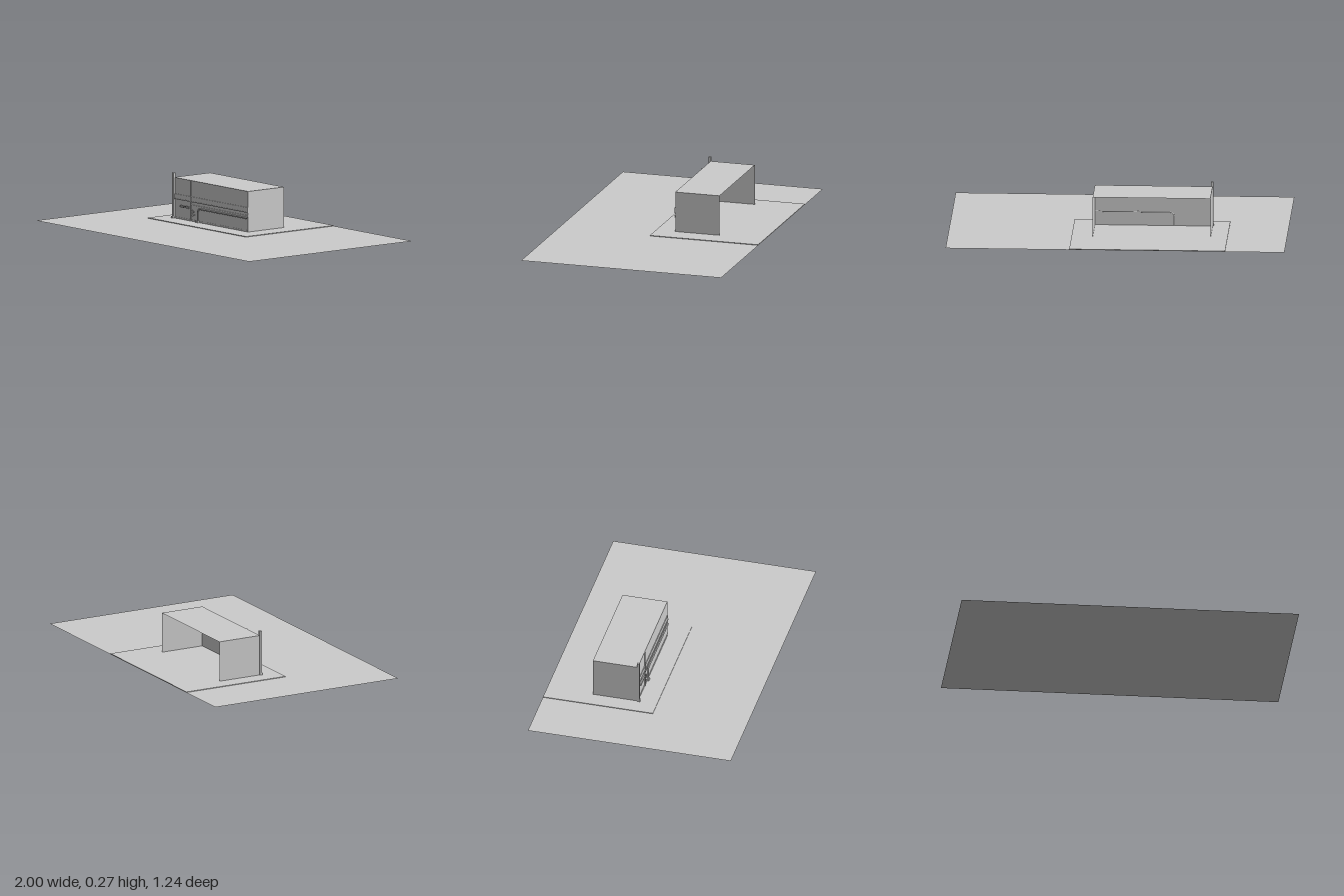
import * as THREE from 'three';

export function createModel() {
  const model = new THREE.Group();
  const mat = new THREE.MeshStandardMaterial({ color: 0xcccccc, side: THREE.DoubleSide, flatShading: true });
  const smooth = new THREE.MeshStandardMaterial({ color: 0xcccccc });

  function add(name, geometry, material = mat) {
    const mesh = new THREE.Mesh(geometry, material);
    mesh.name = name;
    model.add(mesh);
    return mesh;
  }
  // box given by its limits on each axis
  function box(name, x0, x1, y0, y1, z0, z1) {
    const mesh = add(name, new THREE.BoxGeometry(x1 - x0, y1 - y0, z1 - z0));
    mesh.position.set((x0 + x1) / 2, (y0 + y1) / 2, (z0 + z1) / 2);
    return mesh;
  }
  // single sheet, turned and placed
  function sheet(name, w, h, x, y, z, rx = 0, ry = 0) {
    const mesh = add(name, new THREE.PlaneGeometry(w, h));
    mesh.position.set(x, y, z);
    mesh.rotation.set(rx, ry, 0);
  }

  const L = -0.55, R = 0.145, F = -0.066, B = -0.339, H = 0.246, floor = 0.004;
  const midX = (L + R) / 2, midZ = (F + B) / 2;

  // ground and raised pavement
  sheet('ground', 2, 1.236, 0, 0, 0, -Math.PI / 2);
  box('pavement', -0.65, 0.27, 0.0005, floor, -0.617, 0.052);

  // building shell, open at the back
  sheet('roof', R - L, F - B, midX, H, midZ, -Math.PI / 2);
  sheet('frontWall', R - L, H, midX, H / 2, F);
  for (const [name, x] of [['rightEndWall', L], ['leftEndWall', R]])
    sheet(name, F - B, H, x, H / 2, midZ, 0, Math.PI / 2);

  // end pilaster with its base, and the slim divider
  box('endPilaster', -0.556, -0.541, floor, 0.274, -0.069, -0.055);
  box('pilasterBase', -0.556, -0.541, floor, 0.016, -0.06, -0.05);
  box('divider', -0.392, -0.386, floor, H, F, -0.06);

  // horizontal facade bands
  box('upperBand', -0.541, R, 0.123, 0.15, F, -0.062);
  box('bandLedge', -0.541, R, 0.119, 0.123, F, -0.059);
  box('lowerBand', -0.386, R, 0.097, 0.102, F, -0.061);
  box('skirting', -0.541, R, floor, 0.013, F, -0.064);

  // projecting panel beside the divider, with two rails
  for (const y of [0.076, 0.084])
    box('wallRail', -0.492, -0.405, y, y + 0.004, F, -0.059);

  // small fittings on the wall
  for (const [x, y] of [[-0.375, 0.07], [-0.375, 0.055], [-0.36, 0.062], [-0.355, 0.045], [-0.375, 0.038]])
    box('wallFitting', x - 0.004, x + 0.004, y - 0.003, y + 0.003, F, -0.06);

  // pipe running along the wall and bending down to the pavement
  const pipe = new THREE.CurvePath();
  const p = (x, y) => new THREE.Vector3(x, y, -0.062);
  pipe.add(new THREE.LineCurve3(p(R, 0.086), p(-0.295, 0.086)));
  pipe.add(new THREE.QuadraticBezierCurve3(p(-0.295, 0.086), p(-0.322, 0.086), p(-0.322, 0.06)));
  pipe.add(new THREE.LineCurve3(p(-0.322, 0.06), p(-0.322, floor)));
  add('drainPipe', new THREE.TubeGeometry(pipe, 120, 0.005, 10), smooth);
  box('pipeFoot', -0.336, -0.312, floor, 0.014, F, -0.053);

  return model;
}
